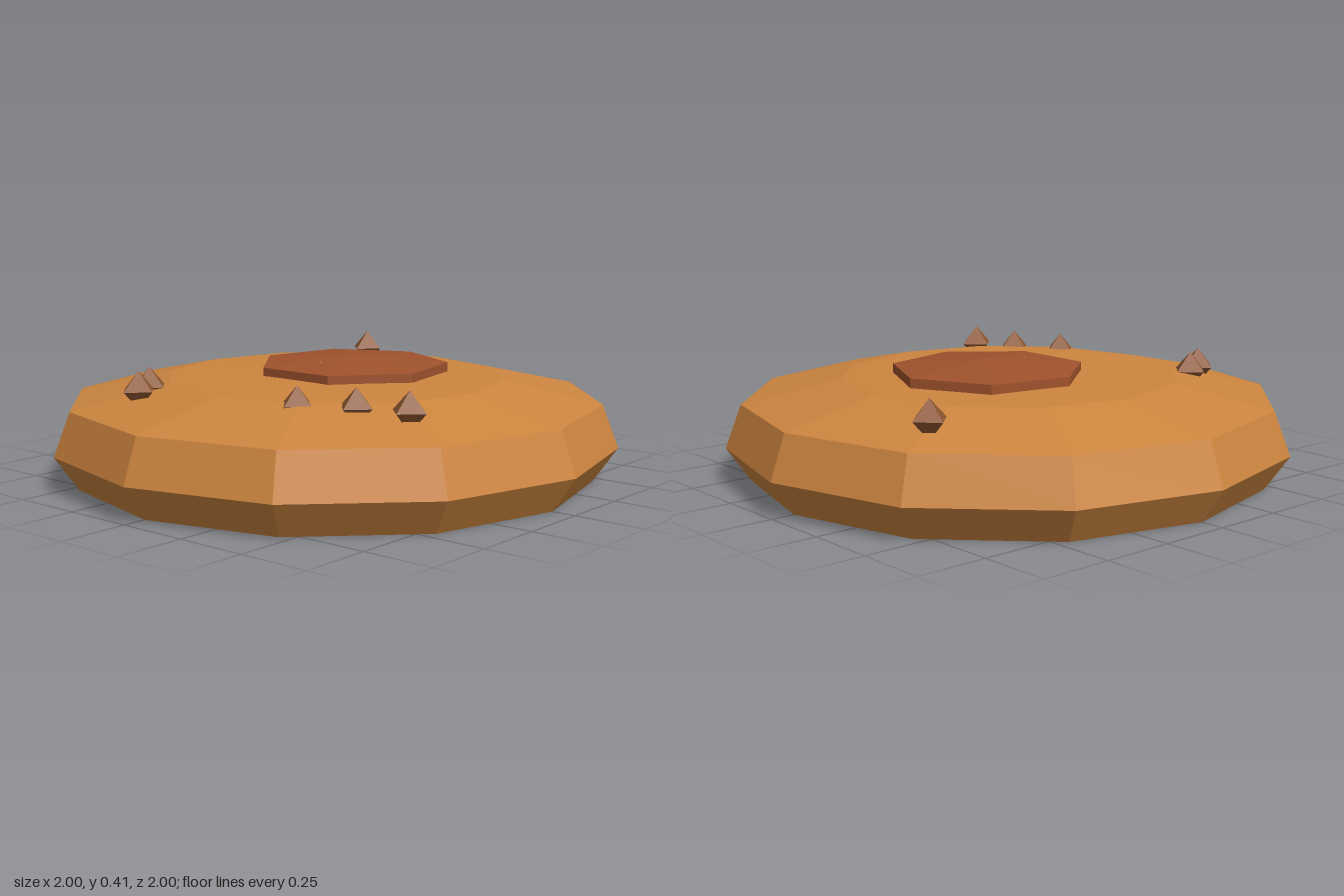
import * as THREE from 'three';

const material = (color) => new THREE.MeshStandardMaterial({ color, flatShading: true });

// Faceted solid of revolution; the profile runs from the bottom centre to the top centre
function faceted(name, profile, sides, mat) {
  const points = profile.map(([r, y]) => new THREE.Vector2(r, y));
  const mesh = new THREE.Mesh(new THREE.LatheGeometry(points, sides, Math.PI / 2), mat);
  mesh.name = name;
  return mesh;
}

export function createModel() {
  const group = new THREE.Group();
  group.name = 'moundWithPebbles';

  // Low twelve-sided earth mound with bevelled rim
  group.add(faceted('mound', [
    [0, 0], [0.917, 0], [1, 0.12], [0.943, 0.272], [0.6, 0.347], [0, 0.36],
  ], 12, material(0xcd853f)));

  // Seven-sided raised patch, slightly off centre
  const patch = faceted('raisedPatch', [
    [0, 0.33], [0.343, 0.35], [0.343, 0.384], [0, 0.415],
  ], 7, material(0xa0522d));
  patch.position.x = 0.1;
  group.add(patch);

  // Pebbles half sunk into the ground: x, z, radius
  const pebbles = new THREE.Group();
  pebbles.name = 'pebbles';
  const pebbleMaterial = material(0x8f5730);
  const places = [
    [0.67, -0.393, 0.067], [-0.645, -0.315, 0.067], [-0.555, -0.358, 0.067],
    [-0.505, 0.275, 0.063], [-0.415, 0.445, 0.065], [-0.368, 0.62, 0.067],
    [-0.065, -0.01, 0.064], [0.19, -0.06, 0.066],
  ];
  places.forEach(([x, z, r], i) => {
    const pebble = new THREE.Mesh(new THREE.OctahedronGeometry(r), pebbleMaterial);
    pebble.name = `pebble${i + 1}`;
    pebble.position.set(x, 0.341, z);
    pebbles.add(pebble);
  });
  group.add(pebbles);

  return group;
}
